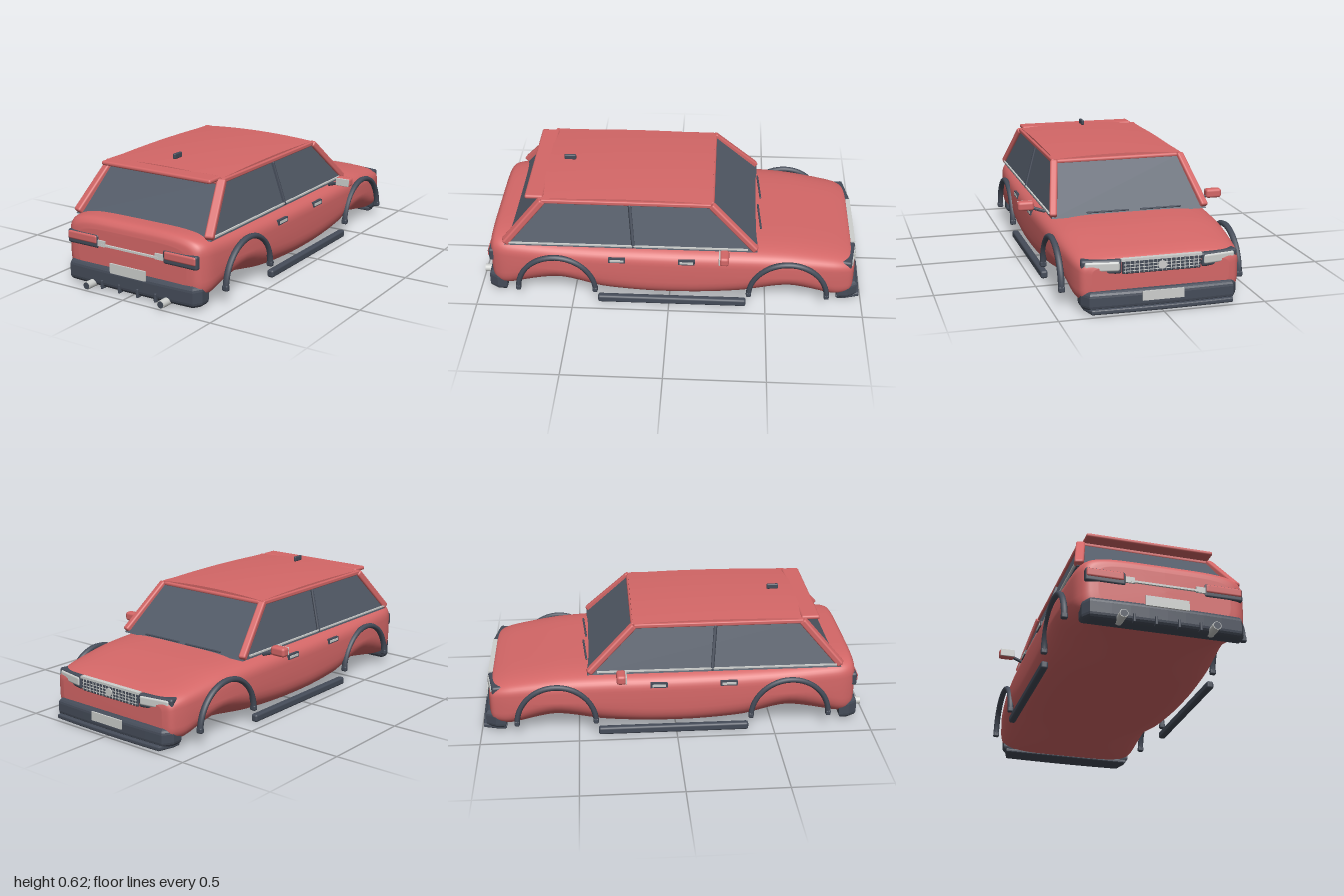
import * as THREE from 'three';
import { RoundedBoxGeometry } from 'three/addons/geometries/RoundedBoxGeometry.js';

const mat = (name, color) => {
  const m = new THREE.MeshStandardMaterial({ color });
  m.name = name;
  return m;
};

// Closed smooth body lofted from cross-sections along z
function bodyGeometry() {
  // z, half width, top, bottom, roundness of the lower half
  const stations = [
    [0.932, 0.32, 0.30, 0.09, 0.4], [0.925, 0.365, 0.33, 0.055, 0.4], [0.90, 0.395, 0.352, 0.03, 0.4],
    [0.83, 0.418, 0.356, 0.02, 0.5], [0.58, 0.436, 0.347, 0.012, 1.05], [0.35, 0.443, 0.342, 0.006, 0.68],
    [0.1, 0.446, 0.34, 0.004, 0.55], [-0.15, 0.445, 0.337, 0.003, 0.57], [-0.38, 0.441, 0.335, 0.002, 0.72],
    [-0.62, 0.43, 0.323, 0.004, 1.05], [-0.84, 0.408, 0.289, 0.015, 0.5], [-0.92, 0.388, 0.268, 0.03, 0.4],
    [-0.945, 0.368, 0.252, 0.045, 0.4], [-0.955, 0.33, 0.23, 0.07, 0.4],
  ];
  const curveA = new THREE.CatmullRomCurve3(stations.map(s => new THREE.Vector3(s[0], s[1], s[4])), false, 'catmullrom', 0.4);
  const curveB = new THREE.CatmullRomCurve3(stations.map(s => new THREE.Vector3(s[2], s[3], 0)), false, 'catmullrom', 0.4);
  const rows = 78, n = 72, pos = [], idx = [];
  const power = (v, e) => Math.sign(v) * Math.pow(Math.abs(v), e);
  for (let i = 0; i <= rows; i++) {
    const a = curveA.getPoint(i / rows), b = curveB.getPoint(i / rows);
    const mid = (b.x + b.y) / 2 + 0.02;
    for (let j = 0; j < n; j++) {
      const t = (j / n) * Math.PI * 2, c = Math.cos(t), s = Math.sin(t);
      const e = s >= 0 ? 0.42 : a.z;
      pos.push(a.y * power(c, e), mid + (s >= 0 ? b.x - mid : mid - b.y) * power(s, e), a.x);
    }
  }
  for (let i = 0; i < rows; i++) for (let j = 0; j < n; j++) {
    const k = (j + 1) % n, a = i * n + j, b = i * n + k;
    idx.push(a, a + n, b, b, a + n, b + n);
  }
  const c0 = pos.length / 3, last = rows * n;
  pos.push(0, 0.2, stations[0][0], 0, 0.15, stations[stations.length - 1][0]);
  for (let j = 0; j < n; j++) {
    const k = (j + 1) % n;
    idx.push(c0, j, k, c0 + 1, last + k, last + j);
  }
  const g = new THREE.BufferGeometry();
  g.setAttribute('position', new THREE.Float32BufferAttribute(pos, 3));
  g.setIndex(idx);
  g.computeVertexNormals();
  return g;
}

// Bumper bar: bowed plan outline with tapered ends, extruded upward with bevel b
function bumperGeometry(halfWidth, inner, outer, y0, y1, b, taper) {
  const d = Math.sign(outer), w = halfWidth - b, o = outer - d * b;
  const s = new THREE.Shape();
  s.moveTo(-w, inner);
  s.lineTo(-w, inner + (o - inner) * 0.3);
  s.lineTo(-w + taper, o - d * 0.008);
  s.quadraticCurveTo(0, o + d * 0.008, w - taper, o - d * 0.008);
  s.lineTo(w, inner + (o - inner) * 0.3);
  s.lineTo(w, inner);
  const g = new THREE.ExtrudeGeometry(s, { depth: y1 - y0 - 2 * b, bevelSize: b, bevelThickness: b, bevelSegments: 4, curveSegments: 8 });
  return g.rotateX(Math.PI / 2).translate(0, y1 - b, 0);
}

export function createModel() {
  const car = new THREE.Group();
  car.name = 'car';
  const red = mat('bodyRed', 0xd46767), dark = mat('darkTrim', 0x454c59);
  const glass = mat('glass', 0x535b68), grey = mat('lightGrey', 0xcdcfcd);

  const add = (name, geo, material, x = 0, y = 0, z = 0) => {
    const m = new THREE.Mesh(geo, material);
    m.name = name;
    m.position.set(x, y, z);
    car.add(m);
    return m;
  };
  const box = (name, material, w, h, d, x, y, z) => add(name, new THREE.BoxGeometry(w, h, d), material, x, y, z);
  const soft = (name, material, w, h, d, x, y, z, r = 0.01) =>
    add(name, new RoundedBoxGeometry(w, h, d, 2, r), material, x, y, z);
  // Bar running from point a to point b
  const beam = (name, material, w, h, a, b, r = 0.006) => {
    const p = new THREE.Vector3(...a), q = new THREE.Vector3(...b);
    const m = add(name, new RoundedBoxGeometry(w, h, p.distanceTo(q), 2, r), material);
    m.position.copy(p).lerp(q, 0.5);
    m.lookAt(q);
    return m;
  };

  add('body', bodyGeometry(), red);

  // Cabin windows: one tapered glass block
  const cabin = new THREE.BoxGeometry(2, 2, 2), cp = cabin.attributes.position;
  for (let i = 0; i < cp.count; i++) {
    const top = cp.getY(i) > 0, rear = cp.getZ(i) > 0;
    cp.setXYZ(i, cp.getX(i) * (top ? 0.335 : 0.403), top ? 0.56 : 0.325, rear ? (top ? 0.655 : 0.845) : (top ? -0.215 : -0.45));
  }
  cabin.computeVertexNormals();
  add('windows', cabin, glass);

  // Crowned roof
  const roof = new THREE.BoxGeometry(0.67, 0.02, 0.87, 20, 1, 20), rp = roof.attributes.position;
  for (let i = 0; i < rp.count; i++) {
    const u = rp.getX(i) / 0.335, v = rp.getZ(i) / 0.435;
    rp.setY(i, rp.getY(i) + 0.56 + 0.014 * (1 - u * u) + 0.01 * (1 - v * v));
  }
  roof.computeVertexNormals();
  add('roof', roof, red, 0, 0, 0.22);

  // Rear spoiler, front roof edge and roof fin
  soft('spoiler', red, 0.65, 0.022, 0.095, 0, 0.569, 0.688, 0.01);
  soft('rearRoofEdge', red, 0.64, 0.03, 0.03, 0, 0.555, 0.655, 0.01);
  soft('roofFrontEdge', red, 0.65, 0.022, 0.03, 0, 0.559, -0.21, 0.01);
  soft('roofFin', dark, 0.016, 0.028, 0.062, 0, 0.611, 0.54, 0.006);

  for (const s of [1, -1]) {
    // Pillars, roof rails and window trim
    beam('frontPillar', red, 0.038, 0.034, [s * 0.395, 0.335, -0.445], [s * 0.335, 0.562, -0.21], 0.01);
    beam('rearPillar', red, 0.045, 0.036, [s * 0.392, 0.335, 0.845], [s * 0.332, 0.562, 0.645], 0.01);
    beam('roofRail', red, 0.024, 0.022, [s * 0.336, 0.56, -0.21], [s * 0.336, 0.56, 0.65]);
    beam('middlePillar', dark, 0.016, 0.024, [s * 0.402, 0.33, 0.183], [s * 0.338, 0.552, 0.203]);
    box('beltStrip', grey, 0.008, 0.008, 1.22, s * 0.406, 0.342, 0.21);

    // Door handles
    for (const z of [0.265, -0.09]) {
      box('handleFrame', dark, 0.017, 0.026, 0.086, s * 0.438, 0.275, z);
      box('handle', grey, 0.016, 0.013, 0.07, s * 0.441, 0.275, z);
    }

    // Wheel arch flares
    for (const z of [0.582, -0.612]) {
      const arch = add('wheelArch', new THREE.TorusGeometry(0.2, 0.014, 8, 32, Math.PI), dark, s * 0.442, 0.08, z);
      arch.rotation.y = Math.PI / 2;
      arch.scale.z = 1.15;
      for (const e of [1, -1]) soft('archFoot', dark, 0.032, 0.03, 0.026, s * 0.442, 0.087, z + e * 0.2, 0.008);
    }

    // Side sill
    soft('sill', dark, 0.036, 0.04, 0.77, s * 0.433, 0.023, -0.015, 0.011);

    // Door mirror
    beam('mirrorArm', dark, 0.016, 0.016, [s * 0.40, 0.322, -0.29], [s * 0.475, 0.347, -0.28]);
    soft('mirrorHousing', red, 0.084, 0.048, 0.048, s * 0.5, 0.357, -0.282, 0.014);
    soft('mirrorGlass', grey, 0.076, 0.041, 0.008, s * 0.5, 0.357, -0.258, 0.003);

    // Tail lights
    soft('tailLightHousing', dark, 0.194, 0.07, 0.05, s * 0.288, 0.239, 0.912, 0.012);
    soft('tailLightLens', red, 0.18, 0.043, 0.04, s * 0.29, 0.248, 0.922, 0.01);
    box('tailBracket', grey, 0.045, 0.03, 0.016, s * 0.172, 0.235, 0.932);

    // Exhausts and diffuser fins
    add('exhaust', new THREE.CylinderGeometry(0.02, 0.02, 0.09, 20), grey, s * 0.222, 0.028, 0.955).rotation.x = Math.PI / 2;
    add('exhaustBore', new THREE.CylinderGeometry(0.017, 0.017, 0.004, 20), dark, s * 0.222, 0.028, 0.999).rotation.x = Math.PI / 2;
    for (const x of [0.055, 0.16]) soft('diffuserFin', dark, 0.012, 0.045, 0.03, s * x, 0.034, 0.948, 0.004);

    // Headlights
    beam('headlightHousing', dark, 0.06, 0.068, [s * 0.19, 0.222, -0.937], [s * 0.376, 0.222, -0.905], 0.012);
    beam('headlight', grey, 0.05, 0.046, [s * 0.2, 0.225, -0.946], [s * 0.36, 0.225, -0.919], 0.01);

    // Windscreen wipers
    beam('wiper', dark, 0.01, 0.008, s > 0 ? [0.01, 0.346, -0.453] : [-0.265, 0.346, -0.453],
      s > 0 ? [0.23, 0.35, -0.468] : [-0.045, 0.35, -0.468], 0.003);
  }

  // Bumpers, plates and tailgate rail
  add('rearBumper', bumperGeometry(0.393, 0.88, 0.955, 0.015, 0.124, 0.028, 0.015), dark);
  add('frontBumper', bumperGeometry(0.38, -0.9, -0.985, 0.02, 0.112, 0.026, 0.02), dark);
  add('frontSplitter', bumperGeometry(0.365, -0.88, -1.0, 0.01, 0.034, 0.008, 0.02), dark);
  box('rearPlate', grey, 0.212, 0.05, 0.008, 0, 0.13, 0.957);
  box('frontPlate', grey, 0.2, 0.045, 0.008, 0, 0.082, -0.987);
  box('tailRail', grey, 0.34, 0.01, 0.016, 0, 0.229, 0.934);

  // Grille with bars
  soft('grille', dark, 0.38, 0.066, 0.03, 0, 0.218, -0.948, 0.006);
  box('grilleTop', grey, 0.39, 0.012, 0.024, 0, 0.252, -0.953);
  for (let i = 0; i < 3; i++) box('grilleBar', grey, 0.37, 0.003, 0.006, 0, 0.2 + i * 0.015, -0.962);
  for (let i = -8; i <= 8; i++) box('grilleSlat', grey, 0.003, 0.055, 0.006, i * 0.022, 0.217, -0.962);
  add('grilleDisc', new THREE.CylinderGeometry(0.02, 0.02, 0.008, 20), grey, 0, 0.218, -0.964).rotation.x = Math.PI / 2;

  return car;
}
